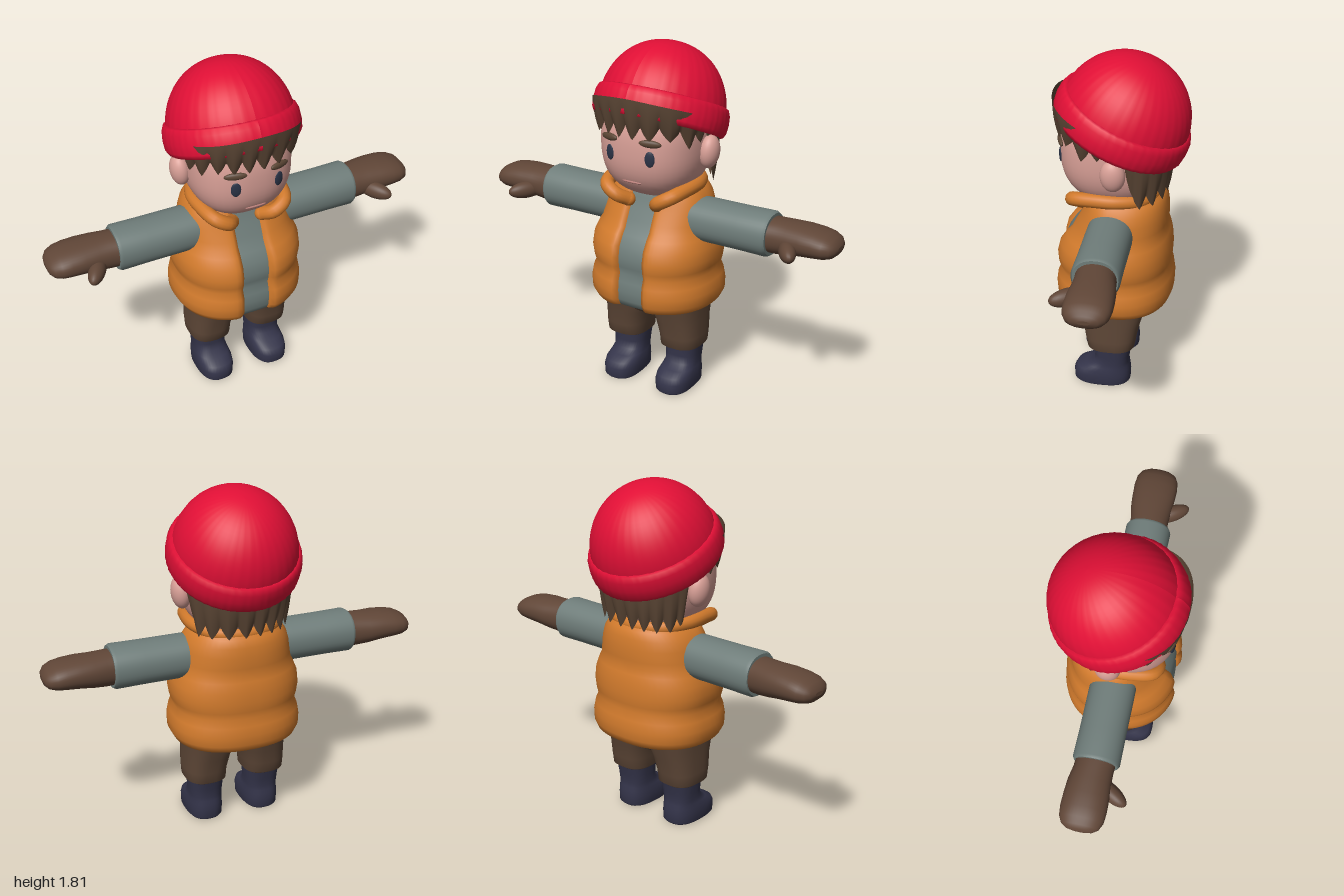
import * as THREE from 'three';

const mat = (name, color, side = THREE.FrontSide) => {
  const m = new THREE.MeshStandardMaterial({ color, side });
  m.name = name;
  return m;
};
const spow = (v, p) => Math.sign(v) * Math.pow(Math.abs(v), p);

// Skins a stack of rings (arrays of [x, y, z]) and closes both ends
function skin(rings) {
  const n = rings[0].length, pos = rings.flat(2), idx = [];
  for (let r = 0; r < rings.length - 1; r++)
    for (let i = 0; i < n; i++) {
      const a = r * n + i, b = r * n + (i + 1) % n;
      idx.push(a, b, a + n, b, b + n, a + n);
    }
  for (const top of [false, true]) {
    const base = pos.length / 3;
    pos.push(...(top ? rings[rings.length - 1] : rings[0]).flat());
    for (let j = 0; j < n / 2 - 1; j++) {
      const [a, b, c, d] = [j, j + 1, n - 2 - j, n - 1 - j].map((k) => k + base);
      idx.push(...(top ? [a, b, c, a, c, d] : [a, c, b, a, d, c]));
    }
  }
  const g = new THREE.BufferGeometry();
  g.setAttribute('position', new THREE.Float32BufferAttribute(pos, 3));
  g.setIndex(idx);
  g.computeVertexNormals();
  return g;
}

// Superellipse sections: [y, rx, rz, centreX, centreZ]
function loft(sections, power = 2.4, n = 40) {
  return skin(sections.map(([y, rx, rz, cx = 0, cz = 0]) =>
    Array.from({ length: n }, (_, i) => {
      const t = (i / n) * Math.PI * 2;
      return [cx + rx * spow(Math.sin(t), 2 / power), y, cz + rz * spow(Math.cos(t), 2 / power)];
    })));
}

function mirrored(geo) {
  const g = geo.clone().scale(-1, 1, 1), ix = g.index.array;
  for (let i = 0; i < ix.length; i += 3) [ix[i], ix[i + 1]] = [ix[i + 1], ix[i]];
  return g;
}

// Vest silhouette: [y, half width, front depth, back depth]
const VEST = [
  [0.485, 0.30, 0.28, 0.25], [0.495, 0.325, 0.305, 0.275], [0.53, 0.343, 0.323, 0.288],
  [0.58, 0.345, 0.326, 0.29], [0.63, 0.335, 0.32, 0.283], [0.672, 0.318, 0.303, 0.268],
  [0.71, 0.33, 0.315, 0.275], [0.76, 0.338, 0.318, 0.278], [0.82, 0.332, 0.303, 0.273],
  [0.87, 0.312, 0.268, 0.262], [0.9, 0.298, 0.24, 0.25], [0.94, 0.29, 0.22, 0.254],
  [1.0, 0.282, 0.185, 0.254], [1.05, 0.268, 0.165, 0.247], [1.09, 0.24, 0.15, 0.235],
  [1.12, 0.2, 0.13, 0.2],
];

function vestGeometry() {
  const M = 60, p = 2.3;
  return skin(VEST.map(([y, rx, zf, zb]) => {
    const t0 = Math.asin(Math.pow(0.073 / rx, p / 2)), outer = [], inner = [];
    for (let i = 0; i < M; i++) {
      const u = i / (M - 1), edge = Math.min(u, 1 - u);
      const t = t0 + (Math.PI * 2 - 2 * t0) * (u - 0.06 * Math.sin(u * Math.PI * 2) );
      const f = 1 - 0.07 * Math.exp(-edge / 0.012), c = Math.cos(t);
      const x = rx * spow(Math.sin(t), 2 / p), z = (c > 0 ? zf : zb) * spow(c, 2 / p);
      outer.push([x * (edge < 0.1 ? 1 : f), y, z * f]);
      inner.unshift([x * 0.72, y, z * 0.72]);
    }
    return [...outer, ...inner];
  }));
}

// Head is a superellipsoid; faceZ gives its front surface
const HEAD = { y: 1.335, z: 0.02, rx: 0.262, ry: 0.282, rz: 0.272, n: 2.45 };
const faceZ = (x, y) => HEAD.z + HEAD.rz * Math.pow(
  1 - Math.pow(Math.abs(x) / HEAD.rx, HEAD.n) - Math.pow(Math.abs(y - HEAD.y) / HEAD.ry, HEAD.n), 1 / HEAD.n);

function headGeometry() {
  const g = new THREE.SphereGeometry(1, 48, 32), p = g.attributes.position, v = new THREE.Vector3();
  for (let i = 0; i < p.count; i++) {
    v.fromBufferAttribute(p, i);
    const k = Math.pow(v.toArray().reduce((s, c) => s + Math.pow(Math.abs(c), HEAD.n), 0), -1 / HEAD.n);
    p.setXYZ(i, v.x * k * HEAD.rx, HEAD.y + v.y * k * HEAD.ry, HEAD.z + v.z * k * HEAD.rz);
  }
  g.computeVertexNormals();
  return g;
}

// Hair curtain hanging below the hat, ending in pointed locks
function hairGeometry() {
  const N = 264, R = 10, locks = 22, g = new THREE.PlaneGeometry(1, 1, N, R), p = g.attributes.position;
  for (let i = 0; i < p.count; i++) {
    const t = Math.floor(i / (N + 1)) / R, th = ((i % (N + 1)) / N) * Math.PI * 2;
    const a = Math.min(th, Math.PI * 2 - th), c = Math.cos(th);
    const wave = Math.abs(((th * locks) / (Math.PI * 2) + 0.2 * Math.sin(3 * th + 1)) % 1 * 2 - 1);
    const step = (x0, x1) => THREE.MathUtils.smoothstep(a, x0, x1);
    const base = 1.475 - 0.05 * step(0.7, 1.1) + 0.02 * step(1.2, 1.4) - 0.27 * step(1.75, 2.0);
    const bottom = base - 0.075 * Math.pow(1 - wave, 0.7);
    const top = 1.47 + 0.14 * c;
    const r = 0.302 + 0.025 * c + 0.015 * Math.sin(2 * th) ** 2 - 0.033 * t * t + 0.007 * t * (0.5 - wave);
    p.setXYZ(i, r * Math.sin(th), top + (bottom - top) * t, r * c);
  }
  g.computeVertexNormals();
  return g;
}

function ribbedLathe(points, ribs, depth) {
  const g = new THREE.LatheGeometry(points.map(([x, y]) => new THREE.Vector2(x, y)), 120);
  const p = g.attributes.position;
  for (let i = 0; i < p.count; i++) {
    const k = 1 + depth * Math.cos(ribs * Math.atan2(p.getX(i), p.getZ(i)));
    p.setXYZ(i, p.getX(i) * k, p.getY(i), p.getZ(i) * k);
  }
  g.computeVertexNormals();
  return g;
}

export function createModel() {
  const root = new THREE.Group();
  const M = {
    hat: mat('hat red', 0xe00f35, THREE.DoubleSide), vest: mat('vest orange', 0xd17a2c),
    shirt: mat('shirt grey', 0x6f7d7a), mitten: mat('mitten brown', 0x604637),
    trousers: mat('trouser brown', 0x5e4737), boot: mat('boot navy', 0x34344a),
    skin: mat('skin', 0xd9a097), hair: mat('hair brown', 0x5a4534, THREE.DoubleSide),
    eye: mat('eye navy', 0x2b3346), mouth: mat('mouth', 0xb37a74),
  };
  const add = (name, geo, material, parent = root) => {
    const m = new THREE.Mesh(geo, material);
    m.name = name;
    parent.add(m);
    return m;
  };
  const pair = (name, geo, material) => {
    add('left' + name, geo, material);
    add('right' + name, mirrored(geo), material);
  };
  const ball = (rx, ry, rz) => new THREE.SphereGeometry(1, 28, 20).scale(rx, ry, rz);

  // Boots and trousers
  pair('Boot', loft([
    [0, 0.085, 0.14, 0.16, 0.067], [0.012, 0.095, 0.15, 0.16, 0.067], [0.06, 0.097, 0.152, 0.16, 0.067],
    [0.09, 0.095, 0.142, 0.16, 0.06], [0.112, 0.09, 0.115, 0.16, 0.037], [0.135, 0.087, 0.092, 0.16, 0.017],
    [0.18, 0.09, 0.092, 0.16, 0.012], [0.245, 0.096, 0.102, 0.16, 0.008],
  ], 2.6), M.boot);
  pair('TrouserLeg', loft([
    [0.228, 0.095, 0.105, 0.162, 0.015], [0.24, 0.11, 0.125, 0.163, 0.018], [0.3, 0.113, 0.135, 0.163, 0.018],
    [0.38, 0.12, 0.15, 0.153, 0.016], [0.44, 0.13, 0.168, 0.145, 0.015], [0.52, 0.13, 0.185, 0.145, 0.015],
  ], 2.7), M.trousers);
  add('trouserHips', loft([
    [0.385, 0.05, 0.08, 0, 0.01], [0.41, 0.15, 0.135, 0, 0.012], [0.45, 0.255, 0.165, 0, 0.014], [0.53, 0.27, 0.185, 0, 0.015],
  ], 2.8), M.trousers);

  // Shirt and padded vest
  add('shirt', loft(VEST.map(([y, , zf]) =>
    [y, 0.2, (zf * 0.9 + 0.13) / 2, 0, (zf * 0.9 - 0.13) / 2]), 3), M.shirt);
  add('vest', vestGeometry(), M.vest);
  const half = [[0.082, 1.035, 0.165], [0.125, 1.07, 0.215], [0.185, 1.105, 0.2], [0.215, 1.12, 0.1],
    [0.215, 1.12, -0.02], [0.15, 1.11, -0.14]];
  const path = [...half, [0, 1.105, -0.185], ...half.map(([x, y, z]) => [-x, y, z]).reverse()];
  add('collar', new THREE.TubeGeometry(new THREE.CatmullRomCurve3(
    path.map((q) => new THREE.Vector3(...q))), 80, 0.036, 14), M.vest);
  for (const s of [1, -1])
    add('collarTip', ball(0.036, 0.036, 0.036).translate(s * half[0][0], half[0][1], half[0][2]), M.vest);

  // Sleeves and mittens, lofted upright and laid along x
  const limb = (sections) => loft(sections, 2.2).rotateZ(-Math.PI / 2).translate(0, 0.95, 0);
  pair('Sleeve', limb([
    [0.15, 0.11, 0.115, 0, 0.01], [0.3, 0.11, 0.117, 0, 0.01], [0.5, 0.11, 0.117, 0, 0.01],
    [0.64, 0.112, 0.119, 0, 0.01], [0.655, 0.104, 0.11, 0, 0.01],
  ]), M.shirt);
  pair('Mitten', limb([
    [0.64, 0.088, 0.1, 0, 0.008], [0.69, 0.088, 0.1, 0, 0.005], [0.75, 0.083, 0.107, -0.003, 0],
    [0.82, 0.077, 0.113, -0.008, 0], [0.89, 0.07, 0.115, -0.008, 0], [0.94, 0.062, 0.11, -0.005, 0],
    [0.975, 0.048, 0.093, -0.002, 0], [0.993, 0.03, 0.065, 0, 0], [1.0, 0.01, 0.03, 0, 0],
  ]), M.mitten);
  pair('Thumb', ball(0.042, 0.045, 0.1).rotateY(0.55).translate(0.775, 0.925, 0.11), M.mitten);

  // Head and face
  add('head', headGeometry(), M.skin);
  pair('Ear', ball(0.05, 0.086, 0.062).rotateZ(-0.1).translate(0.28, 1.3, -0.01), M.skin);
  const ez = faceZ(0.115, 1.31);
  pair('Eye', ball(0.025, 0.04, 0.008).rotateY(0.3).translate(0.113, 1.312, ez), M.eye);
  const bz = faceZ(0.115, 1.39);
  pair('Eyebrow', ball(0.056, 0.019, 0.014).rotateZ(-0.06).rotateY(0.32).translate(0.115, 1.39, bz), M.hair);
  add('mouth', ball(0.055, 0.006, 0.008).translate(0, 1.172, faceZ(0, 1.172)), M.mouth);
  add('hair', hairGeometry(), M.hair);

  // Knitted hat, tilted back
  const hat = new THREE.Group();
  hat.name = 'hat';
  hat.position.set(0, 1.395, 0.015);
  hat.rotation.x = -0.42;
  hat.scale.x = 0.965;
  root.add(hat);
  const dome = [];
  for (let i = 0; i <= 20; i++) {
    const a = (i / 20) * Math.PI / 2;
    dome.push([i === 20 ? 0 : 0.328 * Math.pow(Math.cos(a), 0.95), 0.09 + 0.335 * Math.sin(a)]);
  }
  add('hatCrown', ribbedLathe(dome, 36, 0.003), M.hat, hat);
  add('hatCuff', ribbedLathe([[0.29, 0.02], [0.315, 0.002], [0.335, 0.002], [0.348, 0.025], [0.352, 0.07],
    [0.348, 0.115], [0.337, 0.142], [0.322, 0.148], [0.3, 0.14]], 48, 0.005), M.hat, hat);
  return root;
}
